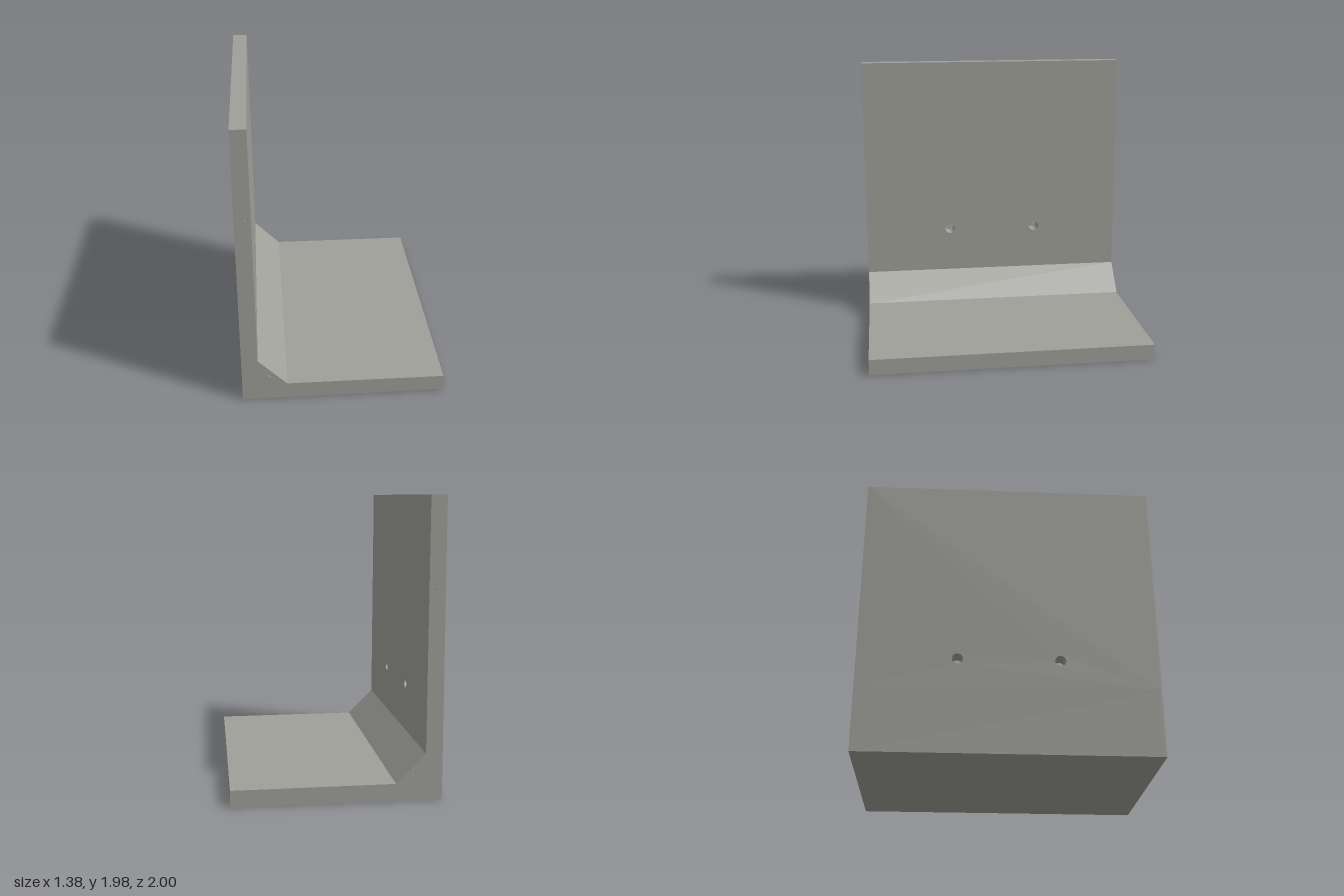
import * as THREE from 'three';

const LEFT = -0.692, RIGHT = 0.692, TOP = 1.98, SEAM = 0.45;
const CAP = 0.01; // depth of the shallow sockets in both ends

// inner face of the wall, tapering slightly upwards
const innerX = y => THREE.MathUtils.mapLinear(y, 0.31, TOP, -0.581, -0.587);

// L-shaped section up to a given height
function section(top) {
  return new THREE.Shape([
    [LEFT, 0], [RIGHT, 0], [RIGHT, 0.111], [-0.385, 0.115],
    [-0.581, 0.31], [innerX(top), top], [LEFT, top],
  ].map(([x, y]) => new THREE.Vector2(x, y)));
}

function addHole(shape, x, y, r) {
  shape.holes.push(new THREE.Path().absarc(x, y, r, 0, Math.PI * 2, true));
}

function extrude(shape, depth) {
  return new THREE.ExtrudeGeometry(shape, { depth, bevelEnabled: false, curveSegments: 16 });
}

export function createModel() {
  const group = new THREE.Group();
  const concrete = new THREE.MeshStandardMaterial({ color: 0xa0a09a });
  concrete.name = 'concrete grey';
  const add = (name, geometry) => {
    const mesh = new THREE.Mesh(geometry, concrete);
    mesh.name = name;
    group.add(mesh);
  };
  const half = 1 - CAP;

  // foot slab with the sloped fillet and the root of the wall
  add('foot', extrude(section(SEAM), half * 2).translate(0, 0, -half));

  // wall with two round through-holes
  const face = new THREE.Shape([
    new THREE.Vector2(-half, SEAM), new THREE.Vector2(half, SEAM),
    new THREE.Vector2(half, TOP), new THREE.Vector2(-half, TOP),
  ]);
  for (const z of [-0.34, 0.34]) addHole(face, z, 0.65, 0.037);
  const wall = extrude(face, 1).rotateY(-Math.PI / 2);
  const p = wall.attributes.position;
  for (let i = 0; i < p.count; i++) {
    p.setX(i, p.getX(i) < -0.5 ? LEFT : innerX(p.getY(i)));
  }
  wall.computeVertexNormals();
  add('wall', wall);

  // end faces with small blind sockets
  for (const [name, z] of [['frontEnd', half], ['backEnd', -1]]) {
    const end = section(TOP);
    addHole(end, -0.615, 1.38, 0.012);
    addHole(end, -0.503, 0.19, 0.012);
    add(name, extrude(end, CAP).translate(0, 0, z));
  }
  return group;
}
